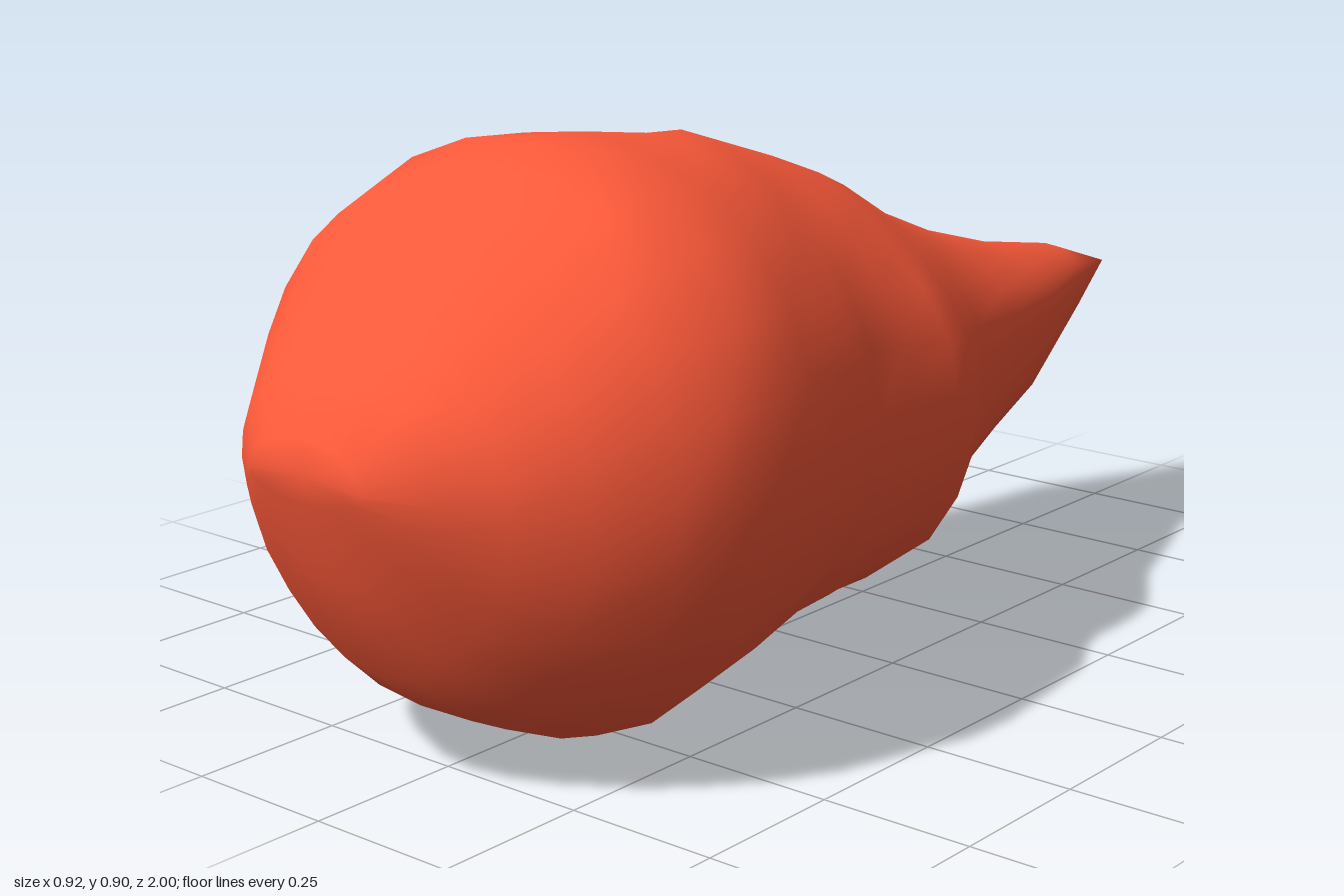
import * as THREE from 'three';
import { mergeVertices } from 'three/addons/utils/BufferGeometryUtils.js';

// Cross-sections from tail tip to blunt nose:
// z, reach to +x, reach to -x, bottom y, top y, fullness of the lower and upper corners
const SECTIONS = [
  [-1.0, 0, 0, 0.465, 0.465, 0, 0],
  [-0.8, 0.085, 0.075, 0.385, 0.53, 0.05, -0.02],
  [-0.6, 0.145, 0.175, 0.28, 0.565, 0.08, -0.05],
  [-0.4, 0.215, 0.21, 0.25, 0.62, 0.11, -0.06],
  [-0.21, 0.275, 0.27, 0.185, 0.695, 0.1, -0.06],
  [-0.07, 0.355, 0.365, 0.11, 0.77, 0.06, -0.07],
  [0.0, 0.37, 0.375, 0.1, 0.8, 0.06, -0.07],
  [0.11, 0.365, 0.36, 0.095, 0.835, 0.07, -0.06],
  [0.22, 0.385, 0.385, 0.09, 0.87, 0.06, -0.06],
  [0.3, 0.43, 0.43, 0.095, 0.875, 0.04, -0.04],
  [0.44, 0.448, 0.45, 0.05, 0.895, 0.02, 0],
  [0.56, 0.46, 0.463, 0.0, 0.9, -0.02, 0.03],
  [0.63, 0.435, 0.44, 0.02, 0.87, 0, 0.03],
  [0.7, 0.415, 0.42, 0.055, 0.84, 0.02, 0.03],
  [0.8, 0.34, 0.33, 0.11, 0.76, 0.02, 0.03],
  [0.88, 0.27, 0.265, 0.18, 0.67, -0.03, 0.03],
  [0.95, 0.2, 0.185, 0.335, 0.63, -0.02, 0.02],
  [1.0, 0.11, 0.11, 0.46, 0.55, 0, 0],
  [1.0, 0, 0, 0.5, 0.5, 0, 0],
];
const SIDES = 24;

function bodyGeometry() {
  const positions = [], index = [];
  SECTIONS.forEach(([z, left, right, bottom, top, lower, upper], i) => {
    // the widest level lies between a common height and the section's own middle
    const midY = (0.48 + (bottom + top) / 2) / 2;
    for (let j = 0; j < SIDES; j++) {
      const a = (j / SIDES) * Math.PI * 2;
      const c = Math.cos(a), s = Math.sin(a);
      // corner fullness and faint lumps, fading at the four extremes
      const corner = s > 0 ? upper : lower;
      const lump = 1 + Math.sin(2 * a) ** 2 * (corner + 0.01 * Math.sin(5 * a + 2.3 * i));
      positions.push(
        c * (c > 0 ? left : right) * lump,
        midY + s * (s > 0 ? top - midY : midY - bottom) * lump,
        z
      );
      if (i < SECTIONS.length - 1) {
        const k = (j + 1) % SIDES;
        const p = i * SIDES + j, q = i * SIDES + k;
        index.push(p, q, p + SIDES, q, q + SIDES, p + SIDES);
      }
    }
  });
  // bring the tip rings to a single point each
  for (const ring of [0, SECTIONS.length - 1]) {
    const tipY = SECTIONS[ring][3];
    for (let j = 0; j < SIDES; j++) {
      positions[(ring * SIDES + j) * 3 + 1] = tipY;
    }
  }
  const raw = new THREE.BufferGeometry();
  raw.setAttribute('position', new THREE.Float32BufferAttribute(positions, 3));
  raw.setIndex(index);
  const geometry = mergeVertices(raw, 1e-4);
  geometry.computeVertexNormals();
  return geometry;
}

export function createModel() {
  const group = new THREE.Group();
  group.name = 'lumpyTeardrop';
  const body = new THREE.Mesh(bodyGeometry(), new THREE.MeshStandardMaterial({ color: 0xff5a3a }));
  body.name = 'body';
  group.add(body);
  return group;
}
